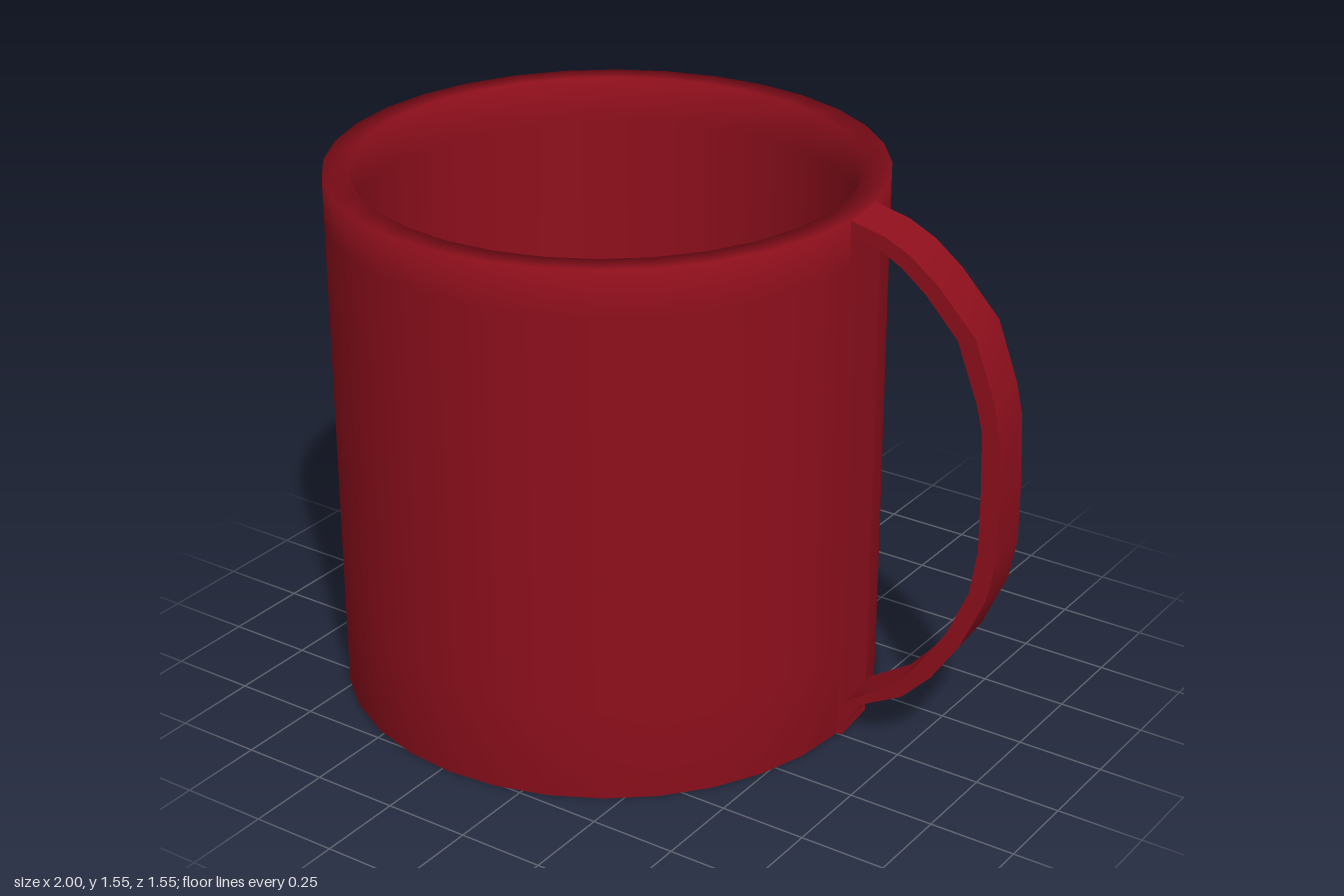
import * as THREE from 'three';
import { toCreasedNormals } from 'three/addons/utils/BufferGeometryUtils.js';

const SEGMENTS = 32;
const RADIUS = 0.775;
const HEIGHT = 1.55;
const HANDLE_WIDTH = 0.152; // one facet of the body
const points = (list) => list.map(([x, y]) => new THREE.Vector2(x, y));

export function createModel() {
  const model = new THREE.Group();
  model.name = 'mug';
  const red = new THREE.MeshStandardMaterial({ color: 0x8e0f1c });

  const add = (parent, name, geometry) => {
    const mesh = new THREE.Mesh(geometry, red);
    mesh.name = name;
    parent.add(mesh);
    return mesh;
  };

  // Hollow body: base, outer wall, flat rim, inner wall and floor
  const profile = points([
    [0, 0], [0.745, 0], [RADIUS, 0], [RADIUS, 0.28], [RADIUS, 1.42], [RADIUS, HEIGHT],
    [0.702, HEIGHT], [0.7, 1.42], [0.695, 0.3], [0.69, 0.07], [0, 0.07],
  ]);
  const body = add(model, 'body', new THREE.LatheGeometry(profile, SEGMENTS));
  body.position.x = -0.225;

  // Handle assembly, turned to face out from the middle of one body facet
  const handle = new THREE.Group();
  handle.name = 'handle';
  handle.position.x = -0.225;
  handle.rotation.y = Math.PI / SEGMENTS;
  model.add(handle);

  // Thin mounting strip on the wall
  const strip = add(handle, 'mountingStrip', new THREE.BoxGeometry(0.025, HEIGHT - 0.03, HANDLE_WIDTH));
  strip.position.set(0.775, HEIGHT / 2 - 0.015, 0);

  // Flat curved band: outer edge downwards, then inner edge back up
  const outer = [
    [0.768, 1.55], [0.87, 1.522], [0.945, 1.482], [1.025, 1.415], [1.135, 1.29],
    [1.195, 1.12], [1.214, 1.03], [1.222, 0.85], [1.222, 0.66], [1.2, 0.54],
    [1.13, 0.38], [1.05, 0.26], [0.965, 0.175], [0.845, 0.115], [0.768, 0],
  ];
  const inner = [
    [0.768, 0.06], [0.8, 0.115], [0.925, 0.19], [1.0, 0.275], [1.09, 0.41],
    [1.15, 0.55], [1.17, 0.68], [1.17, 0.85], [1.165, 1.03], [1.145, 1.11],
    [1.085, 1.275], [0.99, 1.385], [0.92, 1.445], [0.86, 1.482], [0.768, 1.51],
  ];
  const band = new THREE.ExtrudeGeometry(new THREE.Shape(points([...outer, ...inner])), {
    depth: HANDLE_WIDTH, bevelEnabled: false,
  });
  band.translate(0, 0, -HANDLE_WIDTH / 2);
  add(handle, 'handleBand', toCreasedNormals(band, 0.6));

  return model;
}
